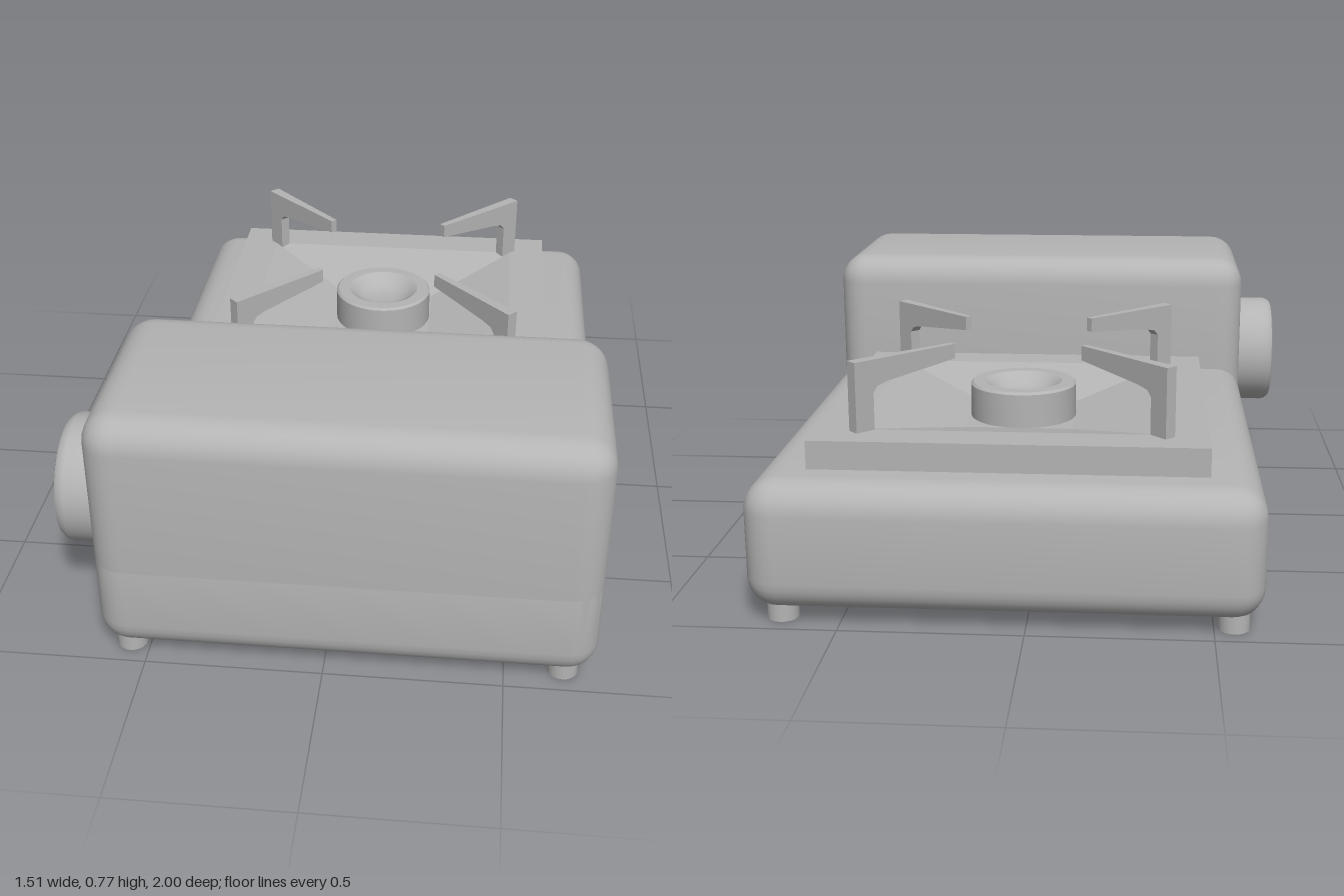
import * as THREE from 'three';
import { toCreasedNormals } from 'three/addons/utils/BufferGeometryUtils.js';
import { RoundedBoxGeometry } from 'three/addons/geometries/RoundedBoxGeometry.js';

const CX = 0.057, CZ = -0.33; // burner centre

export function createModel() {
  const group = new THREE.Group();
  const grey = new THREE.MeshStandardMaterial({ color: 0xb4b4b4 });
  grey.name = 'grey';

  const add = (name, geometry, x = 0, y = 0, z = 0) => {
    const mesh = new THREE.Mesh(geometry, grey);
    mesh.name = name;
    mesh.position.set(x, y, z);
    group.add(mesh);
    return mesh;
  };
  const lathe = (points, segments = 48) =>
    toCreasedNormals(new THREE.LatheGeometry(points.map(p => new THREE.Vector2(...p)), segments), 0.5);

  // Rounded housing whose underside is cut flat at y = 0.05
  const housing = (top, z0, z1) => {
    const low = 0.035;
    const geo = new RoundedBoxGeometry(1.39, top - low, z1 - z0, 4, 0.09);
    geo.translate(0.06, (top + low) / 2, (z0 + z1) / 2);
    const p = geo.attributes.position;
    for (let i = 0; i < p.count; i++) p.setY(i, Math.max(p.getY(i), 0.05));
    return toCreasedNormals(geo, 0.45);
  };
  add('base', housing(0.4, -1, 1));
  add('gasCompartment', housing(0.775, 0.35, 1));

  // Drip pan: rectangular sections from the outer skirt into the sunken middle
  const sections = [
    [0.542, 0.523, 0.38], [0.542, 0.523, 0.48], [0.425, 0.405, 0.48], [0.157, 0.157, 0.42], [0, 0, 0.42],
  ].map(([hx, hz, y]) => [[-hx, y, hz], [hx, y, hz], [hx, y, -hz], [-hx, y, -hz]]);
  const verts = [];
  for (let s = 0; s < sections.length - 1; s++) {
    for (let k = 0; k < 4; k++) {
      const n = (k + 1) % 4;
      const a = sections[s][k], b = sections[s][n], c = sections[s + 1][n], d = sections[s + 1][k];
      verts.push(...a, ...b, ...c);
      if (s < sections.length - 2) verts.push(...a, ...c, ...d);
    }
  }
  const pan = new THREE.BufferGeometry();
  pan.setAttribute('position', new THREE.Float32BufferAttribute(verts, 3));
  pan.computeVertexNormals();
  add('dripPan', pan, CX, 0, CZ);

  // Burner head with a dished top
  add('burner', lathe([
    [0.157, 0.41], [0.157, 0.518], [0.15, 0.525], [0.115, 0.525],
    [0.098, 0.515], [0.07, 0.492], [0.04, 0.485], [0, 0.485],
  ]), CX - 0.002, 0, CZ - 0.002);

  // Pan supports: an upright post with an arm tapering towards the burner
  const profile = new THREE.Shape([
    [0.61, 0.44], [0.61, 0.677], [0.265, 0.677], [0.265, 0.635],
    [0.5, 0.61], [0.535, 0.602], [0.55, 0.585], [0.55, 0.44],
  ].map(p => new THREE.Vector2(...p)));
  const arm = new THREE.ExtrudeGeometry(profile, { depth: 0.036, bevelEnabled: false });
  arm.translate(0, 0, -0.018);
  const ap = arm.attributes.position;
  for (let i = 0; i < ap.count; i++) {
    const t = (ap.getX(i) - 0.265) / 0.345;
    ap.setZ(i, ap.getZ(i) * (0.58 + 0.42 * t));
  }
  arm.computeVertexNormals();
  for (let k = 0; k < 4; k++) {
    add('panSupport', arm, CX - 0.003, 0, CZ - 0.004).rotation.y = Math.PI / 4 + k * Math.PI / 2;
  }

  // Control knob on the right side
  const knob = lathe([
    [0.185, 0], [0.185, 0.095], [0.181, 0.11], [0.17, 0.122], [0.158, 0.126], [0, 0.126],
  ]);
  add('knob', knob, -0.634, 0.4, 0.685).rotation.z = Math.PI / 2;

  // Feet
  const foot = new THREE.CylinderGeometry(0.043, 0.043, 0.09, 20);
  for (const x of [-0.553, 0.663]) {
    for (const z of [-0.912, 0.915]) add('foot', foot, x, 0.045, z);
  }
  return group;
}
